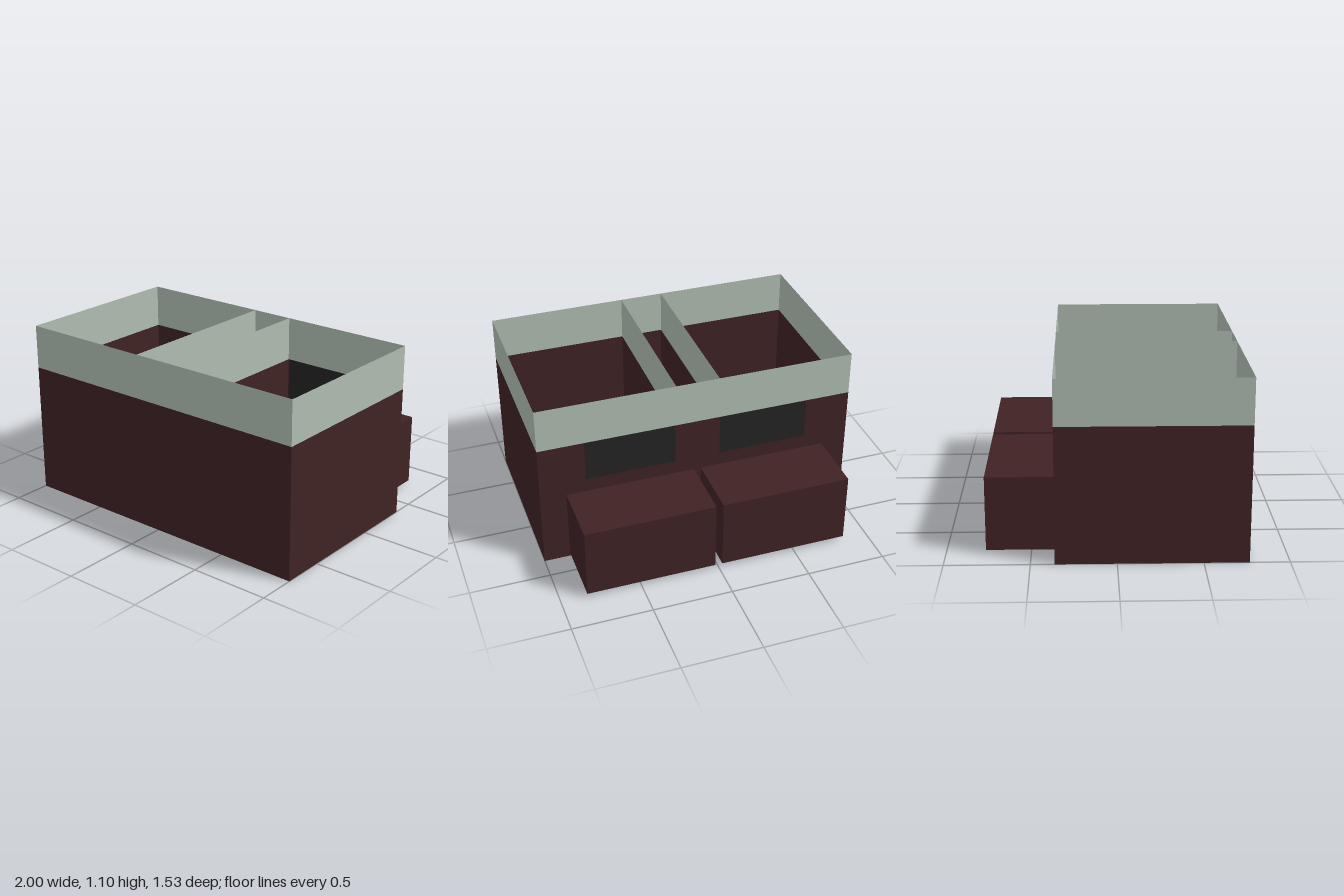
import * as THREE from 'three';

const mat = (name, color) => {
  const m = new THREE.MeshStandardMaterial({ color, side: THREE.DoubleSide });
  m.name = name;
  return m;
};

export function createModel() {
  const brown = mat('dark brown', 0x402224);
  const green = mat('pale green', 0xafbdb2);
  const black = mat('window black', 0x232323);
  const model = new THREE.Group();

  const BACK = -0.36, FRONT = 0.765, BAND = 0.827, TOP = 1.104;
  const MID_Z = (FRONT + BACK) / 2, DEPTH = FRONT - BACK;

  const add = (name, geometry, material, x, y, z, ry = 0) => {
    const mesh = new THREE.Mesh(geometry, material);
    mesh.name = name;
    mesh.position.set(x, y, z);
    mesh.rotation.y = ry;
    model.add(mesh);
    return mesh;
  };

  // Thin wall: brown lower part and green upper band
  const band = (name, width, x, z, ry) =>
    add(name + 'Band', new THREE.PlaneGeometry(width, TOP - BAND), green, x, (TOP + BAND) / 2, z, ry);
  const wall = (name, width, x, z, ry) => {
    add(name, new THREE.PlaneGeometry(width, BAND), brown, x, BAND / 2, z, ry);
    band(name, width, x, z, ry);
  };

  wall('frontWall', 2, 0, FRONT, 0);
  band('backWall', 2, 0, BACK, Math.PI);

  // Back wall with two window notches below the band
  const W0 = 0.143, W1 = 0.713, SILL = 0.562;
  const outline = [
    [-1, 0], [1, 0], [1, BAND], [W1, BAND], [W1, SILL], [W0, SILL], [W0, BAND],
    [-W0, BAND], [-W0, SILL], [-W1, SILL], [-W1, BAND], [-1, BAND],
  ].map(([x, y]) => new THREE.Vector2(x, y));
  add('backWall', new THREE.ShapeGeometry(new THREE.Shape(outline)), brown, 0, 0, BACK, Math.PI);

  // Floor
  add('floor', new THREE.PlaneGeometry(2, DEPTH), brown, 0, 0, MID_Z).rotation.x = Math.PI / 2;

  // Mirrored side walls, partitions, windows and rear boxes
  for (const [side, s] of [['left', 1], ['right', -1]]) {
    wall(side + 'Wall', DEPTH, s, MID_Z, s * Math.PI / 2);
    wall(side + 'Partition', DEPTH, s * 0.137, MID_Z, s * Math.PI / 2);
    add(side + 'Window', new THREE.PlaneGeometry(W1 - W0, BAND - SILL), black,
      s * (W0 + W1) / 2, (BAND + SILL) / 2, BACK, Math.PI);
    add(side + 'RearBox', new THREE.BoxGeometry(0.815, 0.45, 0.404), brown,
      s * 0.43, 0.25, BACK - 0.203);
  }
  return model;
}
